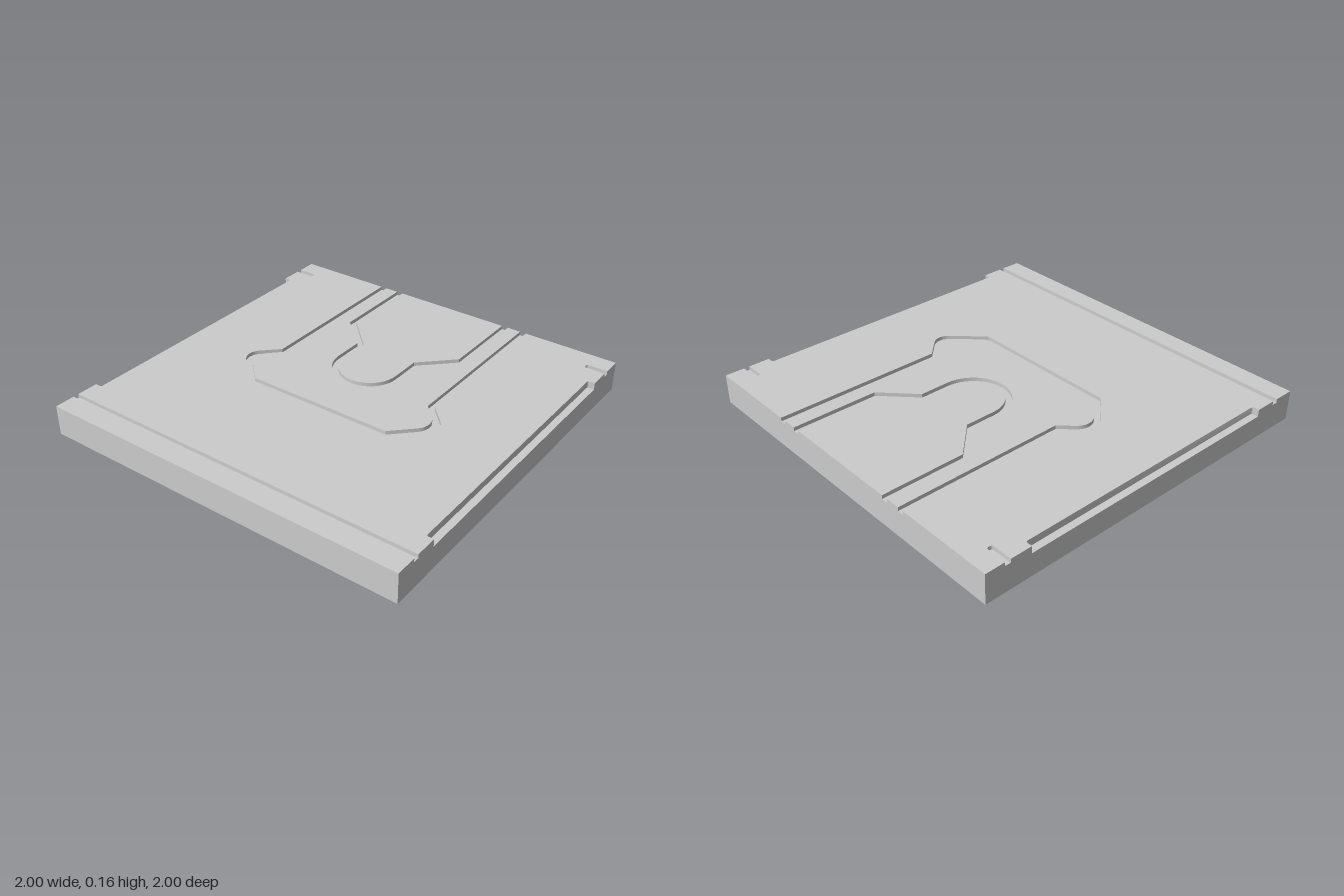
import * as THREE from 'three';
import { toCreasedNormals } from 'three/addons/utils/BufferGeometryUtils.js';

const TOP = 0.16, GROOVE = 0.14, LEDGE = 0.122;
const material = new THREE.MeshStandardMaterial({ color: 0xcccccc, side: THREE.DoubleSide });

const mirror = pts => pts.map(([x, z]) => [-x, z]).reverse();
const both = pts => [...pts, ...mirror(pts)];

// Points on an arc in the x-z plane, angles in degrees
function arc(cx, cz, r, from, to, steps) {
  return Array.from({ length: steps + 1 }, (_, i) => {
    const a = THREE.MathUtils.degToRad(from + (to - from) * i / steps);
    return [cx + r * Math.cos(a), cz + r * Math.sin(a)];
  });
}

const shapeOf = pts => new THREE.Shape(pts.map(p => new THREE.Vector2(...p)));

function mesh(name, geometry) {
  const m = new THREE.Mesh(geometry, material);
  m.name = name;
  return m;
}

// Horizontal sheet bounded by x-z points
function sheet(name, pts, y) {
  const g = new THREE.ShapeGeometry(shapeOf(pts.map(([x, z]) => [x, -z])));
  return mesh(name, g.rotateX(-Math.PI / 2).translate(0, y, 0));
}

// Upright ribbon following x-z points
function ribbon(name, pts, y0, y1) {
  const v = [];
  for (let i = 0; i < pts.length - 1; i++) {
    const [a, b] = [pts[i], pts[i + 1]];
    const A = [a[0], y0, a[1]], B = [b[0], y0, b[1]];
    const C = [b[0], y1, b[1]], D = [a[0], y1, a[1]];
    v.push(...A, ...B, ...C, ...A, ...C, ...D);
  }
  const g = new THREE.BufferGeometry();
  g.setAttribute('position', new THREE.Float32BufferAttribute(v, 3));
  g.computeVertexNormals();
  return mesh(name, toCreasedNormals(g, 0.5));
}

// Outer wall whose top edge is a skyline of [along, height] points
function outerWall(name, skyline) {
  return mesh(name, new THREE.ShapeGeometry(shapeOf([[-1, 0], ...skyline, [1, 0]])));
}

export function createModel() {
  const model = new THREE.Group();
  model.name = 'groovedPanel';

  // Right halves of the four groove edges, from the back edge to the middle
  const tongueEdge = [[0.33, -1], [0.33, -0.55], [0.16, -0.38], ...arc(0, -0.21, 0.16, 0, 90, 12)];
  const bandInner = [[0.365, -1], [0.365, -0.535], [0.195, -0.37], ...arc(0, -0.21, 0.195, 0, 90, 12)];
  const bandOuter = [[0.442, -1], [0.442, -0.075], ...arc(0.45, 0.055, 0.085, -45, 45, 6), [0.4, 0.225]];
  const plateEdge = [[0.476, -1], [0.476, -0.085], ...arc(0.512, 0.055, 0.073, -45, 45, 6), [0.415, 0.257]];

  // Side slot and side ledge outlines (right half)
  const slot = [[1, -0.895], ...arc(0.898, -0.885, 0.01, 270, 180, 3),
    ...arc(0.898, -0.875, 0.01, 180, 90, 3), [1, -0.865]];
  const ledge = [[1, -0.75], ...arc(0.973, -0.74, 0.01, 270, 180, 3),
    ...arc(0.973, 0.735, 0.01, 180, 90, 3), [1, 0.745]];

  // Raised top surfaces
  model.add(sheet('tongueTop', both(tongueEdge), TOP));
  model.add(sheet('bandTop', [...both(bandInner), ...both(bandOuter).reverse()], TOP));
  model.add(sheet('mainTop', both([...plateEdge.slice().reverse(), [1, -1],
    ...slot, ...ledge, [1, 0.86]]), TOP));
  model.add(sheet('frontStripTop', [[-1, 0.89], [1, 0.89], [1, 1], [-1, 1]], TOP));

  // Groove floors
  model.add(sheet('innerGrooveFloor', [...both(tongueEdge), ...both(bandInner).reverse()], GROOVE));
  model.add(sheet('outerGrooveFloor', [...both(bandOuter), ...both(plateEdge).reverse()], GROOVE));
  model.add(sheet('frontGrooveFloor', [[-1, 0.86], [1, 0.86], [1, 0.89], [-1, 0.89]], GROOVE));

  // Groove sides
  for (const [name, edge] of Object.entries({ tongueEdge, bandInner, bandOuter, plateEdge }))
    model.add(ribbon(name + 'Side', both(edge), GROOVE, TOP));
  for (const z of [0.86, 0.89])
    model.add(ribbon('frontGrooveSide', [[-1, z], [1, z]], GROOVE, TOP));

  // Side slots and ledges, one pair on each side
  for (const side of [p => p, mirror]) {
    model.add(sheet('slotFloor', side(slot), GROOVE));
    model.add(ribbon('slotSide', side(slot), GROOVE, TOP));
    model.add(sheet('ledgeFloor', side(ledge), LEDGE));
    model.add(ribbon('ledgeSide', side(ledge), LEDGE, TOP));
  }

  // Outer walls, notched where grooves run out; the underside is open
  const notch = (a, b, y) => [[a, TOP], [a, y], [b, y], [b, TOP]];
  const front = outerWall('frontWall', [[-1, TOP], [1, TOP]]);
  front.position.z = 1;
  const back = outerWall('backWall', [[-1, TOP],
    ...notch(-0.476, -0.442, GROOVE), ...notch(-0.365, -0.33, GROOVE),
    ...notch(0.33, 0.365, GROOVE), ...notch(0.442, 0.476, GROOVE), [1, TOP]]);
  back.geometry.rotateY(Math.PI);
  back.position.z = -1;
  model.add(front, back);

  for (const s of [-1, 1]) {
    // Along-axis runs from front to back on the left side, the reverse on the right
    const line = [[-1, TOP], ...notch(-0.89, -0.86, GROOVE), ...notch(-0.745, 0.75, LEDGE),
      ...notch(0.865, 0.895, GROOVE), [1, TOP]];
    const wall = outerWall(s > 0 ? 'leftWall' : 'rightWall',
      s > 0 ? line : line.map(([a, y]) => [-a, y]).reverse());
    wall.geometry.rotateY(s * Math.PI / 2);
    wall.position.x = s;
    model.add(wall);
  }
  return model;
}
